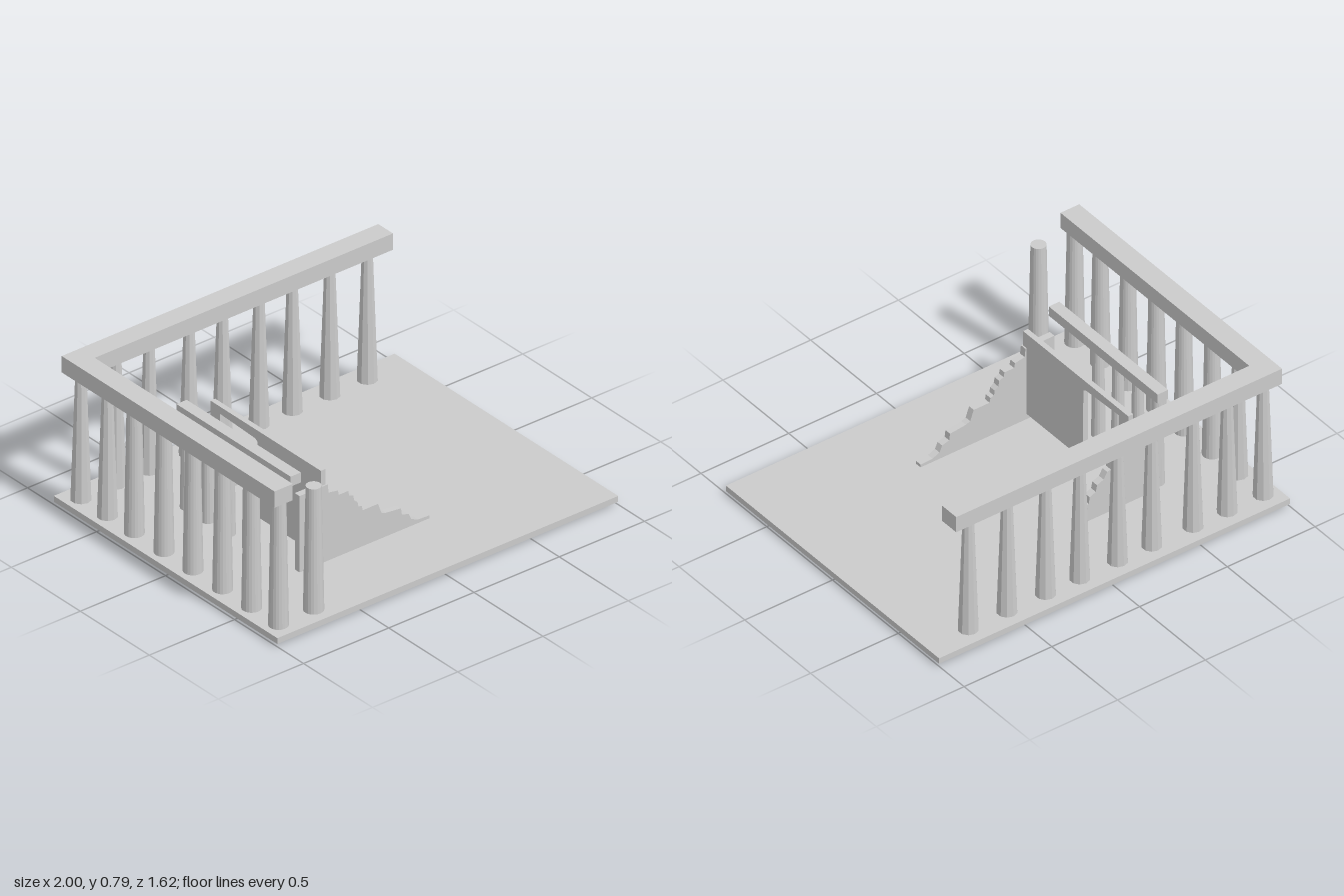
import * as THREE from 'three';

const material = new THREE.MeshStandardMaterial({ color: 0xcccccc, flatShading: true });
const openMaterial = new THREE.MeshStandardMaterial({
  color: 0xcccccc, flatShading: true, side: THREE.DoubleSide });

export function createModel() {
  const model = new THREE.Group();

  const add = (name, geometry, x = 0, y = 0, z = 0) => {
    const mesh = new THREE.Mesh(geometry, material);
    mesh.name = name;
    mesh.position.set(x, y, z);
    model.add(mesh);
    return mesh;
  };

  // Box given by its minimum and maximum on each axis
  const box = (name, x0, x1, y0, y1, z0, z1) =>
    add(name, new THREE.BoxGeometry(x1 - x0, y1 - y0, z1 - z0),
      (x0 + x1) / 2, (y0 + y1) / 2, (z0 + z1) / 2);

  // Tapered column standing between two heights
  const column = (name, x, z, y0, y1, rTop, rBottom, sides) =>
    add(name, new THREE.CylinderGeometry(rTop, rBottom, y1 - y0, sides), x, (y0 + y1) / 2, z);

  // Flat slab cut to an outline
  const slab = (outline, depth) => new THREE.ExtrudeGeometry(
    new THREE.Shape(outline.map(([a, b]) => new THREE.Vector2(a, b))),
    { depth, bevelEnabled: false });

  // Ground slab, hollow underneath: the bottom face is left out
  const floor = box('floor', -1, 1, 0.016, 0.047, -0.81, 0.81);
  const corners = Array.from(floor.geometry.index.array);
  corners.splice(18, 6);
  floor.geometry.setIndex(corners);
  floor.geometry.clearGroups();
  floor.material = openMaterial;

  // L-shaped beam
  box('backBeam', -0.865, 0.885, 0.704, 0.791, -0.787, -0.68);
  box('sideBeam', -0.972, -0.865, 0.704, 0.791, -0.787, 0.755);

  // Slender faceted columns, reaching just through the ground slab
  for (const x of [-0.92, -0.715, -0.52, -0.285, -0.09, 0.125, 0.32, 0.54, 0.76])
    column('backColumn', x, -0.712, 0.038, 0.706, 0.027, 0.05, 10);
  column('sideColumn', -0.92, -0.52, 0.038, 0.706, 0.027, 0.05, 10);

  // Stouter round columns along the side, plus a free-standing one
  for (const z of [-0.325, -0.11, 0.1, 0.315, 0.525, 0.72])
    column('sideColumn', -0.92, z, 0.047, 0.706, 0.036, 0.048, 20);
  column('freeColumn', -0.71, 0.715, 0.047, 0.706, 0.037, 0.049, 20);

  // Low inner colonnade
  box('innerBeam', -0.62, -0.56, 0.535, 0.588, -0.39, 0.437);
  for (const z of [-0.35, -0.2, -0.05, 0.1])
    column('innerColumn', -0.59, z, 0.047, 0.537, 0.027, 0.034, 16);

  // Cross wall with doorway, outlined in z and y
  const crossWall = slab([
    [-0.385, 0.076], [-0.315, 0.076], [-0.315, 0.497], [-0.17, 0.491], [-0.06, 0.486],
    [-0.043, 0.474], [-0.04, 0.076], [0.415, 0.076], [0.415, 0.535], [-0.385, 0.535],
  ], 0.028);
  crossWall.rotateY(-Math.PI / 2);
  add('crossWall', crossWall, -0.397);

  // Ruined side walls with broken, stepped tops, outlined in x and y
  add('frontRuinedWall', slab([
    [-0.555, 0.042], [0.208, 0.042], [0.208, 0.063], [0.14, 0.066], [0.1, 0.083],
    [0.085, 0.116], [0.045, 0.128], [0.04, 0.163], [-0.05, 0.173], [-0.075, 0.183],
    [-0.095, 0.238], [-0.185, 0.238], [-0.19, 0.263], [-0.21, 0.268], [-0.215, 0.293],
    [-0.235, 0.308], [-0.24, 0.338], [-0.265, 0.348], [-0.27, 0.373], [-0.325, 0.373],
    [-0.33, 0.398], [-0.385, 0.408], [-0.39, 0.453], [-0.555, 0.453],
  ], 0.035), 0, 0, 0.387);

  // The back one has sunk and leans, its low corner coming out under the slab
  add('backRuinedWall', slab([
    [-0.56, 0.001], [-0.11, 0.042], [-0.113, 0.135], [-0.165, 0.145],
    [-0.17, 0.18], [-0.205, 0.195], [-0.212, 0.23], [-0.25, 0.245], [-0.27, 0.28],
    [-0.29, 0.285], [-0.296, 0.32], [-0.36, 0.33], [-0.37, 0.377], [-0.435, 0.38],
    [-0.44, 0.42], [-0.46, 0.425], [-0.465, 0.458], [-0.598, 0.445],
  ], 0.036), 0, 0, -0.394);

  return model;
}
